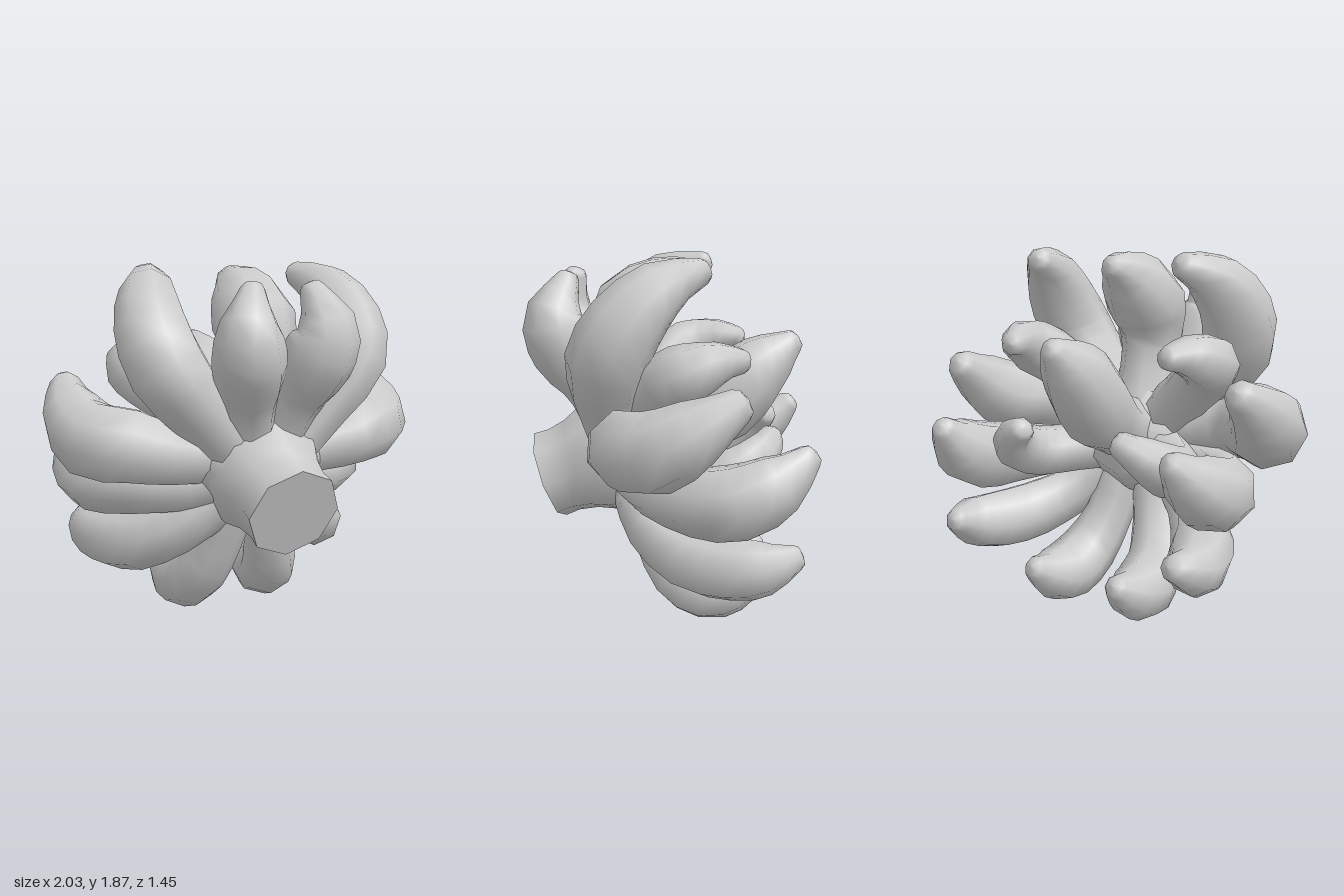
import * as THREE from 'three';

const SIDES = 8, RINGS = 10;

// Each fruit is a spine of [x, y, z, radius] from the crown to the tip.
const centreFruits = {
  upperCentreFruit: [[0, 0.98, 0.18, 0.2], [0, 1.22, 0.23, 0.155], [0, 1.42, 0.26, 0.17],
    [0, 1.59, 0.2, 0.215], [0, 1.73, 0.02, 0.15], [0, 1.79, -0.12, 0.065]],
  backCentreFruit: [[0, 0.9, 0.1, 0.18], [0, 0.98, -0.1, 0.165], [0, 1.09, -0.27, 0.2],
    [0, 1.25, -0.41, 0.19], [0, 1.36, -0.54, 0.13], [0, 1.43, -0.63, 0.065]],
};
const pairedFruits = {
  topFruit: [[0.14, 0.96, 0.26, 0.17], [0.33, 1.17, 0.3, 0.17], [0.5, 1.38, 0.29, 0.2],
    [0.54, 1.57, 0.19, 0.185], [0.5, 1.73, 0.03, 0.14], [0.425, 1.81, -0.165, 0.065]],
  frontFruit: [[0.08, 1.0, 0.3, 0.14], [0.125, 1.22, 0.4, 0.145], [0.175, 1.4, 0.52, 0.18],
    [0.205, 1.57, 0.575, 0.155], [0.155, 1.76, 0.51, 0.06]],
  sideFruit: [[0.2, 0.93, 0.2, 0.15], [0.46, 0.95, 0.22, 0.155], [0.64, 1.0, 0.19, 0.19],
    [0.8, 1.02, 0.04, 0.2], [0.85, 1.13, -0.15, 0.155], [0.83, 1.25, -0.34, 0.08]],
  innerUpperFruit: [[0.15, 0.98, 0.15, 0.15], [0.33, 1.15, 0.09, 0.135], [0.49, 1.29, 0, 0.15],
    [0.54, 1.35, -0.12, 0.14], [0.5, 1.39, -0.25, 0.1], [0.46, 1.39, -0.36, 0.06]],
  lowerSideFruit: [[0.2, 0.78, 0.2, 0.13], [0.45, 0.75, 0.08, 0.13], [0.65, 0.75, -0.15, 0.17],
    [0.71, 0.77, -0.35, 0.185], [0.7, 0.86, -0.53, 0.15], [0.67, 0.98, -0.67, 0.065]],
  lowerFruit: [[0.18, 0.67, 0.18, 0.12], [0.37, 0.53, 0.08, 0.135], [0.53, 0.43, -0.11, 0.16],
    [0.62, 0.41, -0.32, 0.16], [0.675, 0.435, -0.48, 0.13], [0.65, 0.48, -0.62, 0.065]],
  bottomFruit: [[0.1, 0.65, 0.15, 0.13], [0.15, 0.42, 0.07, 0.13], [0.21, 0.24, -0.04, 0.155],
    [0.24, 0.16, -0.19, 0.165], [0.25, 0.18, -0.34, 0.135], [0.25, 0.25, -0.475, 0.065]],
  innerFruit: [[0.15, 0.82, 0.13, 0.14], [0.3, 0.8, -0.03, 0.13], [0.42, 0.8, -0.2, 0.135],
    [0.44, 0.85, -0.35, 0.13], [0.38, 0.93, -0.46, 0.1], [0.29, 0.99, -0.51, 0.065]],
};

// Sweeps an eight-sided ring of varying radius along the spine and rounds the tip.
function fruitGeometry(spine, mirror) {
  const path = new THREE.CatmullRomCurve3(
    spine.map(([x, y, z]) => new THREE.Vector3(x * mirror, y, z)), false, 'catmullrom');
  const girth = new THREE.SplineCurve(spine.map((s, i) => new THREE.Vector2(i, s[3])));
  const rings = [];
  for (let i = 0; i <= RINGS; i++) {
    const t = i / RINGS;
    rings.push({ p: path.getPoint(t), dir: path.getTangent(t), r: girth.getPoint(t).y });
  }
  const end = rings[RINGS];
  for (const [along, scale] of [[0.4, 0.72], [0.55, 0.001]]) {
    rings.push({ p: end.p.clone().addScaledVector(end.dir, end.r * along), dir: end.dir, r: end.r * scale });
  }

  const positions = [], index = [];
  const n = new THREE.Vector3(0.3 * mirror, 0.4, 0.87), b = new THREE.Vector3();
  rings.forEach(({ p, dir, r }, i) => {
    n.addScaledVector(dir, -n.dot(dir)).normalize();
    b.crossVectors(dir, n);
    for (let j = 0; j < SIDES; j++) {
      const a = (j / SIDES) * Math.PI * 2;
      const v = p.clone().addScaledVector(n, r * Math.cos(a)).addScaledVector(b, r * Math.sin(a));
      positions.push(v.x, v.y, v.z);
      if (i < rings.length - 1) {
        const a0 = i * SIDES + j, b0 = i * SIDES + (j + 1) % SIDES;
        index.push(a0, b0, a0 + SIDES, b0, b0 + SIDES, a0 + SIDES);
      }
    }
  });
  const geometry = new THREE.BufferGeometry();
  geometry.setAttribute('position', new THREE.Float32BufferAttribute(positions, 3));
  geometry.setIndex(index);
  geometry.computeVertexNormals();
  return geometry;
}

export function createModel() {
  const model = new THREE.Group();
  model.name = 'fruitBunch';
  const material = new THREE.MeshStandardMaterial({ color: 0xcccccc });
  const add = (parent, name, geometry) => {
    const mesh = new THREE.Mesh(geometry, material);
    mesh.name = name;
    parent.add(mesh);
    return mesh;
  };

  // Stem flaring into the crown, tilted back and up, with a flat cut end
  const stem = new THREE.Group();
  stem.name = 'stem';
  stem.position.set(0, 0.7, 0.65);
  stem.quaternion.setFromUnitVectors(
    new THREE.Vector3(0, 1, 0), new THREE.Vector3(0, 0.34, -0.94).normalize());
  const profile = [[0.24, 0], [0.235, 0.08], [0.255, 0.18], [0.3, 0.28], [0.32, 0.42], [0.31, 0.55], [0.25, 0.69], [0, 0.77]];
  add(stem, 'stemFlare', new THREE.LatheGeometry(profile.map(([r, t]) => new THREE.Vector2(r, t)), SIDES));
  add(stem, 'stemCutEnd', new THREE.CircleGeometry(0.24, SIDES).rotateX(Math.PI / 2));
  model.add(stem);

  // Rounded crown the fruits grow from
  const crown = add(model, 'crown', new THREE.SphereGeometry(1, 16, 10));
  crown.scale.set(0.35, 0.27, 0.27);
  crown.position.set(0, 0.89, 0.23);

  // Single fruits on the centre line
  for (const [name, spine] of Object.entries(centreFruits)) add(model, name, fruitGeometry(spine, 1));

  // Mirrored fruits on both sides
  for (const [name, spine] of Object.entries(pairedFruits)) {
    add(model, name + 'Left', fruitGeometry(spine, 1));
    add(model, name + 'Right', fruitGeometry(spine, -1));
  }
  return model;
}
